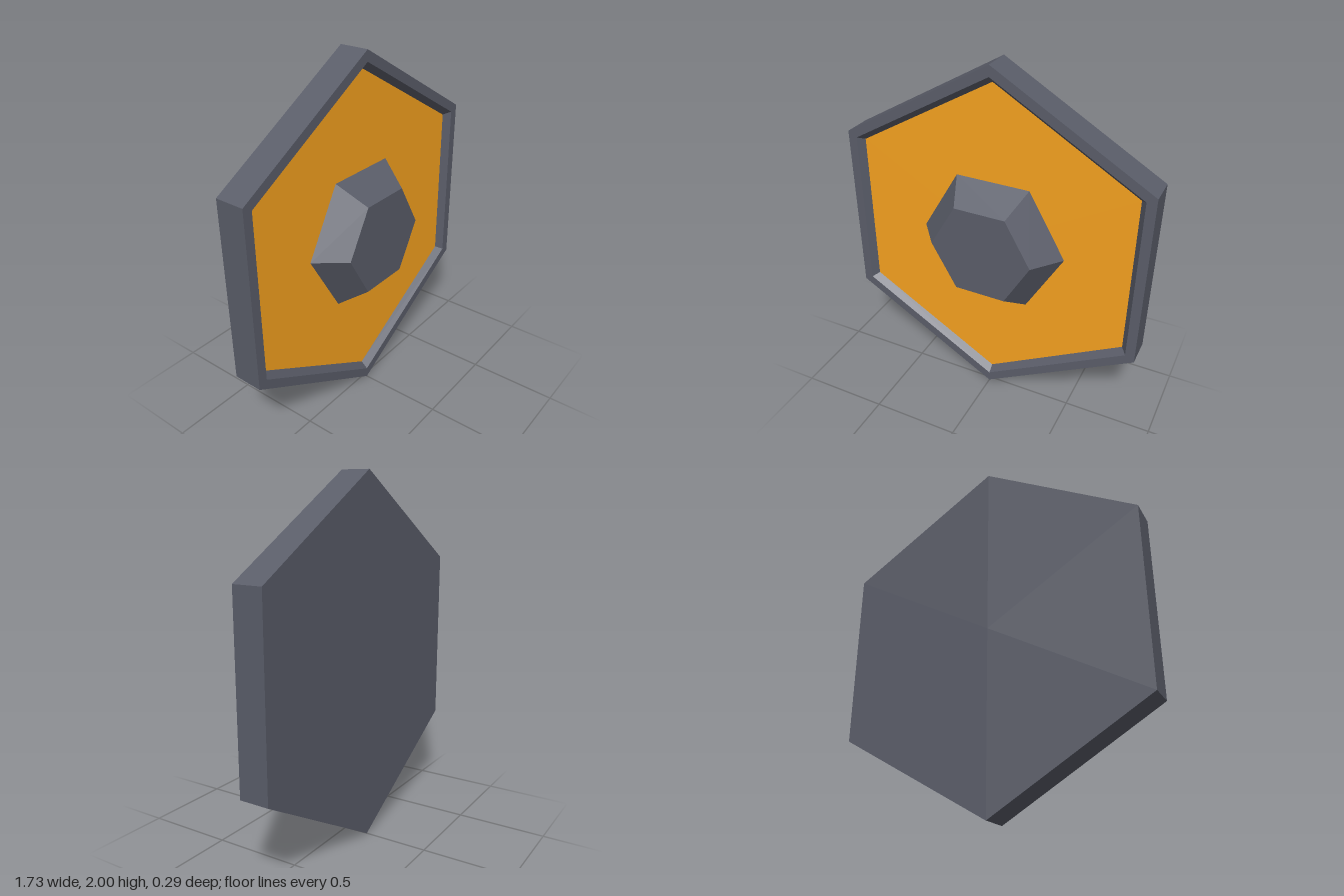
import * as THREE from 'three';

const STEEL = 0x5a5d69;
const AMBER = 0xf5a11f;

// Six-sided solid from a [radius, z] profile, its axis along z, flat-faced
function hexLathe(name, profile, color, phiStart = 0) {
  const points = profile.map(([r, z]) => new THREE.Vector2(r, z));
  const geometry = new THREE.LatheGeometry(points, 6, phiStart).rotateX(Math.PI / 2).toNonIndexed();
  geometry.computeVertexNormals();
  const mesh = new THREE.Mesh(geometry, new THREE.MeshStandardMaterial({ color, flatShading: true }));
  mesh.name = name;
  return mesh;
}

export function createModel() {
  const model = new THREE.Group();
  model.name = 'hexPlate';

  const back = -0.141, front = 0.024, floor = -0.015, top = 0.143;

  // Pointed-top tray: closed back, outer wall, rim and sloped inner wall
  model.add(hexLathe('frame', [[0, back], [1, back], [1, front], [0.94, front], [0.905, floor]], STEEL));

  // Coloured recessed panel
  model.add(hexLathe('panel', [[0.905, floor], [0, floor]], AMBER));

  // Tapered flat-top centre boss
  model.add(hexLathe('boss', [[0.42, floor], [0.292, top], [0, top]], STEEL, Math.PI / 6));

  // Stands on its lower corner, turned very slightly about the vertical
  model.position.y = 1;
  model.rotation.y = -0.0067;
  return model;
}
